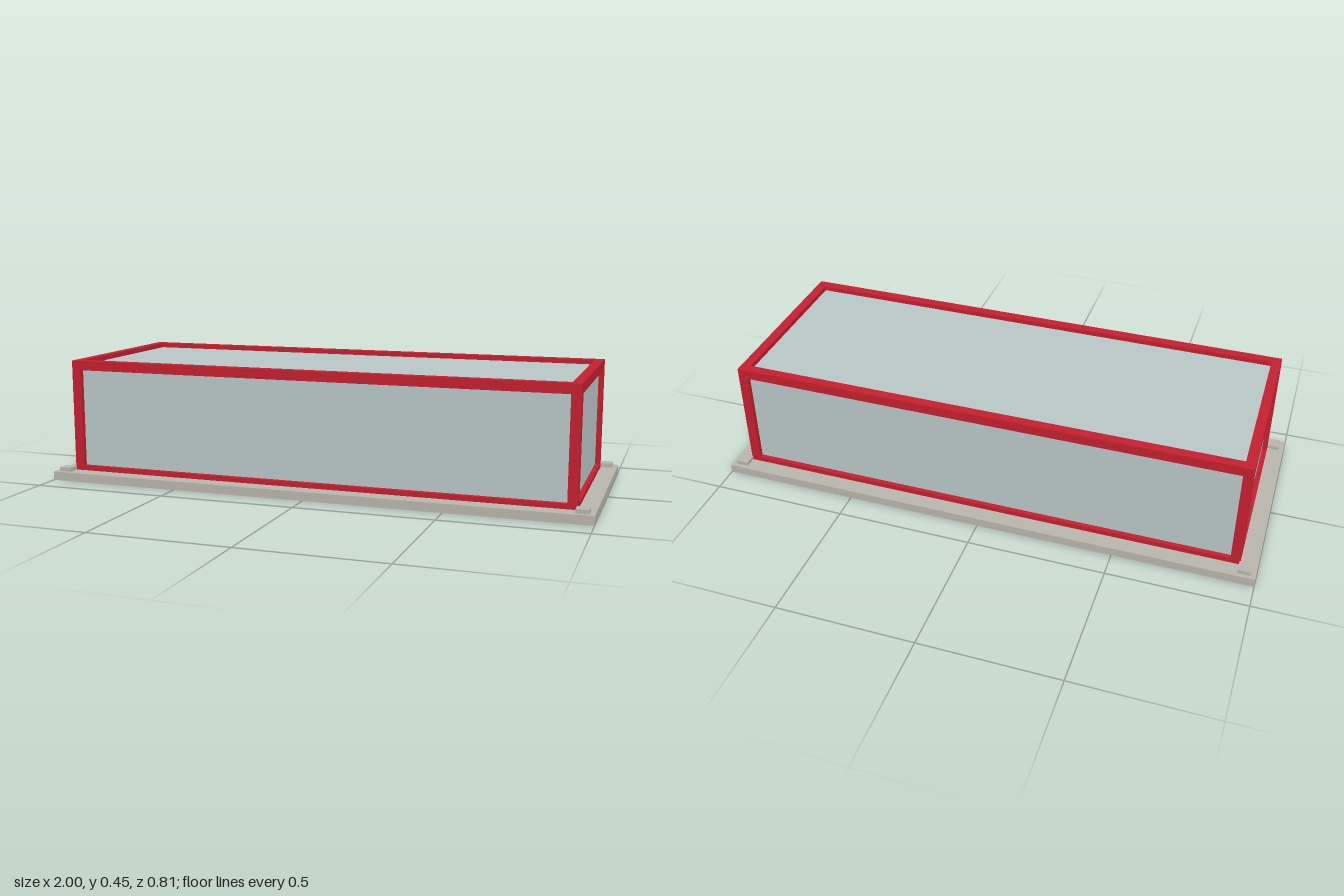
import * as THREE from 'three';

export function createModel() {
  const model = new THREE.Group();
  const material = (name, color) => {
    const m = new THREE.MeshStandardMaterial({ color });
    m.name = name;
    return m;
  };
  const red = material('red frame', 0xc4202f);
  const glass = material('pale glass', 0xbac8c8);
  const stone = material('warm grey', 0xbab7ad);

  const box = (name, mat, w, h, d, x, y, z) => {
    const mesh = new THREE.Mesh(new THREE.BoxGeometry(w, h, d), mat);
    mesh.name = name;
    mesh.position.set(x, y, z);
    model.add(mesh);
  };

  // Base slab
  const baseTop = 0.032;
  box('base', stone, 2, baseTop, 0.81, 0, baseTop / 2, 0);

  // Frame: beam centre lines; the lower rails are half sunk in the base
  const t = 0.035, X = 0.9215, Z = 0.3275, low = 0.0325, high = 0.4305;

  // Glazed body, set back to the middle of the beams
  box('glassBody', glass, 2 * X, high - baseTop, 2 * Z, 0, (high + baseTop) / 2, 0);

  for (const s of [-1, 1]) {
    for (const y of [low, high]) {
      box('longRail', red, 2 * X - t, t, t, 0, y, s * Z);
      box('endRail', red, t, t, 2 * Z - t, s * X, y, 0);
    }
    for (const r of [-1, 1]) {
      // Corner post and the small block on the base beside it
      box('cornerPost', red, t, high - low + t, t, s * X, (high + low) / 2, r * Z);
      box('cornerBlock', stone, 0.045, 0.015, 0.045, s * 0.9585, baseTop + 0.0075, r * 0.3675);
    }
  }
  return model;
}
